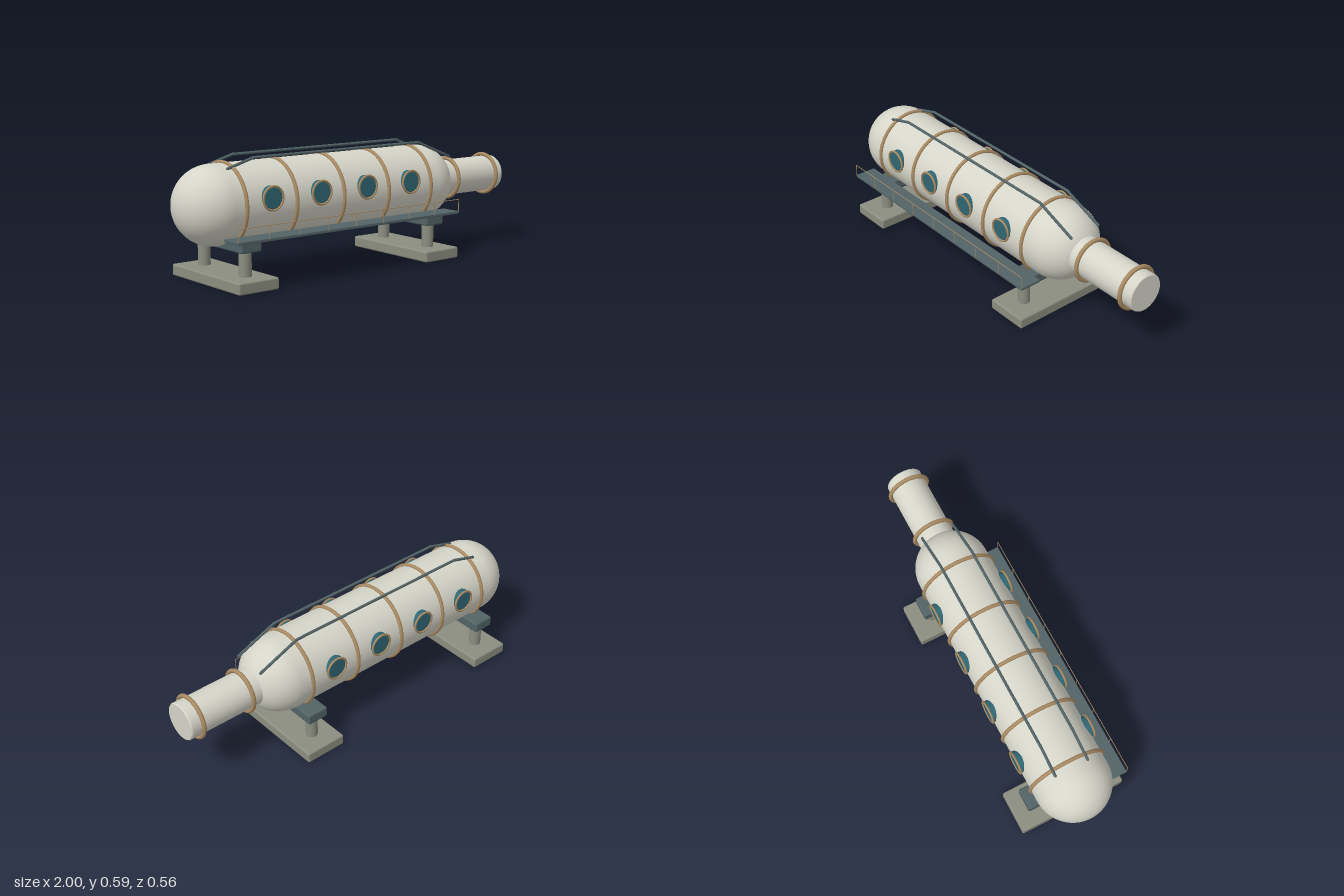
import * as THREE from 'three';
import { RoundedBoxGeometry } from 'three/addons/geometries/RoundedBoxGeometry.js';

const material = (color) => new THREE.MeshStandardMaterial({ color });

export function createModel() {
  const model = new THREE.Group();
  const shell = material(0xd6d5c9);
  const brass = material(0xa98b63);
  const steel = material(0x526366);
  const glass = material(0x2f6673);
  const concrete = material(0x8b8e80);

  const MID = -0.187; // middle of the hull along x
  const AXIS = 0.368; // height of the hull axis
  const R = 0.19; // hull radius

  function add(name, geometry, mat, x = 0, y = 0, z = 0, parent = model) {
    const mesh = new THREE.Mesh(geometry, mat);
    mesh.name = name;
    mesh.position.set(x, y, z);
    parent.add(mesh);
    return mesh;
  }

  // Straight round bar between two points
  function rod(name, a, b, radius, mat, parent) {
    const dir = b.clone().sub(a);
    const mid = a.clone().add(b).multiplyScalar(0.5);
    const geometry = new THREE.CylinderGeometry(radius, radius, dir.length(), 12);
    const bar = add(name, geometry, mat, mid.x, mid.y, mid.z, parent);
    bar.quaternion.setFromUnitVectors(new THREE.Vector3(0, 1, 0), dir.normalize());
  }

  // Hull with domed ends
  const hull = new THREE.CapsuleGeometry(R, 1.246, 24, 64).rotateZ(Math.PI / 2);
  add('hull', hull, shell, MID, AXIS);

  // Docking neck with a softly bevelled end cap
  const neckProfile = [[0.094, 0.52], [0.094, 0.994], [0.094, 0.994], [0.09, 1], [0.09, 1], [0, 1]]
    .map(([r, x]) => new THREE.Vector2(r, x));
  add('neck', new THREE.LatheGeometry(neckProfile, 48).rotateZ(-Math.PI / 2).scale(1, 1, 1), shell, 0, AXIS);

  // Brass bands around hull and neck
  const band = (name, x, radius, tube) =>
    add(name, new THREE.TorusGeometry(radius, tube, 12, 64).rotateY(Math.PI / 2), brass, x, AXIS);
  for (let i = -2; i <= 2; i++) band('hullBand', MID + i * 0.2815, 0.193, 0.0095);
  for (const x of [0.66, 0.94]) band('neckBand', x, 0.104, 0.0105);

  // Portholes on both flanks
  const paneProfile = [[0.056, 0.14], [0.056, 0.189], [0.053, 0.196], [0.047, 0.2], [0.047, 0.2], [0, 0.2]]
    .map(([r, z]) => new THREE.Vector2(r, z));
  for (const side of [1, -1]) {
    for (let i = 0; i < 4; i++) {
      const porthole = new THREE.Group();
      porthole.name = 'porthole';
      porthole.position.set(MID + (i - 1.5) * 0.2815, 0.403, 0);
      if (side < 0) porthole.rotation.y = Math.PI;
      add('pane', new THREE.LatheGeometry(paneProfile, 32).rotateX(Math.PI / 2), glass, 0, 0, 0, porthole);
      add('rim', new THREE.TorusGeometry(0.0555, 0.0055, 10, 40), brass, 0, 0, 0.199, porthole);
      model.add(porthole);
    }
  }

  // Pair of bent handrails along the top
  for (const z of [0.085, -0.085]) {
    const rail = new THREE.Group();
    rail.name = 'handrail';
    const points = [[-0.78, 0.541], [-0.64, 0.581], [0.385, 0.581], [0.6, 0.494]]
      .map(([x, y]) => new THREE.Vector3(x, y, z));
    points.forEach((p, i) => {
      add('railJoint', new THREE.SphereGeometry(0.007, 12, 8), steel, p.x, p.y, p.z, rail);
      if (i) rod('railBar', points[i - 1], p, 0.007, steel, rail);
    });
    model.add(rail);
  }

  // Two supports: foot slab, two legs and a saddle beam
  for (const side of [-1, 1]) {
    const x = MID + side * 0.563;
    add('foot', new RoundedBoxGeometry(0.22, 0.056, 0.564, 3, 0.009), concrete, x, 0.028);
    add('saddle', new RoundedBoxGeometry(0.112, 0.055, 0.45, 3, 0.009), steel, x, 0.199);
    for (const z of [-0.17, 0.17]) {
      add('leg', new THREE.CylinderGeometry(0.03, 0.03, 0.14, 24), concrete, x, 0.115, z);
    }
  }

  // Catwalk along the front with a thin wire railing
  add('catwalk', new RoundedBoxGeometry(1.35, 0.014, 0.112, 2, 0.003), steel, MID, 0.233, 0.226);
  const railing = new THREE.Group();
  railing.name = 'catwalkRailing';
  const x0 = MID - 0.673, x1 = MID + 0.673;
  const at = (x, y) => new THREE.Vector3(x, y, 0.281);
  rod('topWire', at(x0, 0.3), at(x1, 0.3), 0.0018, brass, railing);
  for (let i = 0; i <= 8; i++) {
    const x = x0 + (i / 8) * (x1 - x0);
    rod('post', at(x, 0.236), at(x, 0.3), 0.0018, brass, railing);
  }
  model.add(railing);

  return model;
}
